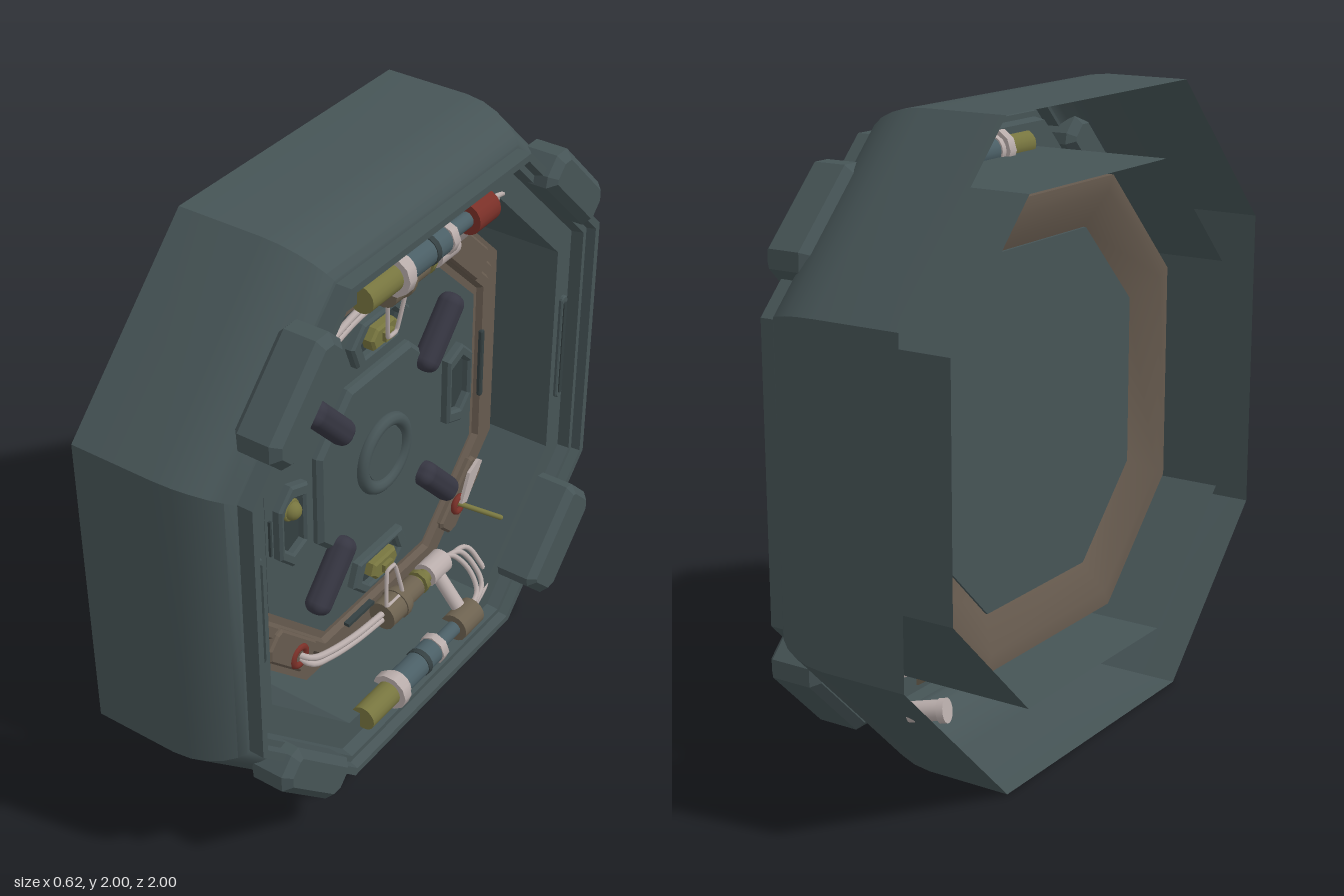
import * as THREE from 'three';
import { toCreasedNormals } from 'three/addons/utils/BufferGeometryUtils.js';
import { RoundedBoxGeometry } from 'three/addons/geometries/RoundedBoxGeometry.js';

const mat = (color) => new THREE.MeshStandardMaterial({ color, side: THREE.DoubleSide });
const SLATE = mat(0x465456), DARK = mat(0x343f41), BROWN = mat(0x665a4e), OLIVE = mat(0x77753f),
  RED = mat(0x7a3028), PURPLE = mat(0x363642), PALE = mat(0xb9adab), TAN = mat(0x6d6250), TEAL = mat(0x4b5f66);

// Corners of the octagon with half width 1, counter-clockwise
const OCT = [[1, -.5], [1, .5], [.5, 1], [-.5, 1], [-1, .5], [-1, -.5], [-.5, -1], [.5, -1]];

// Sweeps a [radius, depth] profile around the octagon
function octSweep(profile) {
  const pos = [];
  const p = (k, j) => {
    const [r, d] = profile[j], c = OCT[k % 8];
    return [c[0] * r, c[1] * r, d];
  };
  for (let k = 0; k < 8; k++) {
    for (let j = 0; j < profile.length - 1; j++) {
      if (profile[j][0] > 0) pos.push(...p(k, j), ...p(k + 1, j), ...p(k + 1, j + 1));
      if (profile[j + 1][0] > 0) pos.push(...p(k, j), ...p(k + 1, j + 1), ...p(k, j + 1));
    }
  }
  const g = new THREE.BufferGeometry();
  g.setAttribute('position', new THREE.Float32BufferAttribute(pos, 3));
  return toCreasedNormals(g, 0.6);
}

const toShape = (pts) => new THREE.Shape(pts.map(([x, y]) => new THREE.Vector2(x, y)));

// Extruded outline, optionally with a scaled copy cut out of it
function plate(pts, depth, hole = 0, bevel = 0.008) {
  const s = toShape(pts);
  if (hole) s.holes.push(toShape(pts.map(([x, y]) => [x * hole, y * hole])));
  return new THREE.ExtrudeGeometry(s, {
    depth: depth - bevel, bevelEnabled: bevel > 0, bevelThickness: bevel, bevelSize: bevel, bevelOffset: -bevel, bevelSegments: 1,
  });
}

// Long rounded outline
function capsule(w, h) {
  const pts = [], r = w / 2;
  for (let i = 0; i <= 16; i++) {
    const a = (i / 16) * Math.PI * 2;
    pts.push([Math.cos(a) * r, Math.sin(a) * r + (i < 8 ? 1 : -1) * (h / 2 - r)]);
  }
  return pts;
}

export function createModel() {
  const model = new THREE.Group();
  model.name = 'octagonalHatch';
  const body = new THREE.Group(); // built facing +z, turned to face +x
  body.name = 'hatchBody';
  body.rotation.y = Math.PI / 2;
  body.position.y = 1;
  model.add(body);

  const add = (name, geo, material, x = 0, y = 0, z = 0, rot = 0) => {
    const m = new THREE.Mesh(geo, material);
    m.name = name;
    m.position.set(x, y, z);
    m.rotation.z = rot;
    body.add(m);
    return m;
  };
  const rod = (name, material, a, b, r, sides = 16) => {
    const A = new THREE.Vector3(...a), B = new THREE.Vector3(...b), d = B.clone().sub(A);
    const m = add(name, new THREE.CylinderGeometry(r, r, d.length(), sides), material, ...A.clone().add(B).multiplyScalar(.5));
    m.quaternion.setFromUnitVectors(new THREE.Vector3(0, 1, 0), d.normalize());
  };
  const hose = (name, material, pts, r, closed = false) => {
    const curve = new THREE.CatmullRomCurve3(pts.map((p) => new THREE.Vector3(...p)), closed, 'catmullrom', closed ? .1 : .5);
    add(name, new THREE.TubeGeometry(curve, 28, r, 8, closed), material);
  };

  // Hollow frame, open at the back
  add('frame', octSweep([[1, -.31], [1, -.03], [.994, .03], [.98, .08], [.96, .125], [.935, .16], [.915, .178], [.905, .18],
    [.905, .23], [.882, .23], [.875, .2], [.857, .2], [.85, .16], [.77, .16], [.77, -.31]]), SLATE);

  // Door: brown rim with a slate panel
  add('doorRim', octSweep([[.55, -.08], [.66, -.14], [.71, -.14], [.71, -.03], [.665, -.03], [.655, -.015],
    [.625, -.015], [.615, 0], [.585, 0], [.575, -.02], [.55, -.02]]), BROWN);
  add('doorPanel', octSweep([[0, -.09], [.552, -.09], [.552, -.015], [0, -.015]]), SLATE);
  const hub = [];
  for (const [x, y] of OCT) hub.push([x * .32, y * .32]);
  add('hubPlate', plate(hub, .035, 0, .015), SLATE, 0, 0, -.02);
  add('hubRing', new THREE.TorusGeometry(.115, .022, 10, 40), SLATE, 0, 0, .022);
  add('hubCap', new THREE.CylinderGeometry(.09, .09, .02, 32).rotateX(Math.PI / 2), SLATE, 0, 0, .018);

  // Four radial grips
  for (const sx of [-1, 1]) for (const sy of [-1, 1]) {
    add('grip', new RoundedBoxGeometry(.26, .085, .08, 3, .035), PURPLE, sx * .29, sy * .29, .025, sx * sy * .83);
  }

  // Pocket frames around the panel
  const pocket = [[-.15, .01], [-.12, -.07], [.12, -.07], [.15, .01], [.09, .07], [-.09, .07]];
  for (let i = 0; i < 4; i++) {
    const a = i * Math.PI / 2, x = -Math.sin(a) * .445, y = Math.cos(a) * .445;
    add('pocketFrame', plate(pocket, .035, .68), SLATE, x, y, -.02, a);
    add('pocketFloor', plate(pocket.map(([u, v]) => [u * .7, v * .7]), .008, 0, 0), DARK, x, y, -.02, a);
    if (i % 2 === 0) {
      add('latchBase', plate(pocket.map(([u, v]) => [u * .48, v * .5]), .045), OLIVE, x, y, -.015, a);
      add('latchBlock', new THREE.BoxGeometry(.045, .03, .05), OLIVE, x, y, .02);
    }
  }
  add('pocketKnob', new THREE.SphereGeometry(.03, 16, 12), OLIVE, -.46, .07, .015);
  add('pocketKnobRing', new THREE.TorusGeometry(.03, .007, 8, 20), OLIVE, -.46, .07, .01);

  // Long slots at both sides of the frame and door
  for (const s of [-1, 1]) {
    add('frameSlotRim', plate(capsule(.038, .4), .015, 0, .004), SLATE, s * .815, 0, .157);
    add('frameSlot', plate(capsule(.018, .36), .004, 0, 0), DARK, s * .815, 0, .172);
    add('doorSlot', plate(capsule(.02, .26), .012, 0, .004), DARK, s * .585, 0, -.005);
    add('panelGroove', new THREE.BoxGeometry(.008, .13, .01), DARK, s * .535, 0, -.012);
  }

  // Corner pads on the frame and smaller ones on the door
  for (const sx of [-1, 1]) for (const sy of [-1, 1]) {
    const big = sx > 0 && sy < 0, rot = Math.atan2(sy, sx) - Math.PI / 2;
    const w = big ? .1 : .07, r = (big ? .955 : .975) / Math.SQRT2;
    const outline = [[-.17, -w], [.17, -w], [.19, -w + .03], [.19, w - .04], [.15, w], [-.15, w], [-.19, w - .04], [-.19, -w + .03]];
    add('framePad', plate(outline, big ? .16 : .13, 0, .025), SLATE, sx * r, sy * r, .14, rot);
    add('doorPad', plate(outline.map(([u, v]) => [u * .7, v * .055 / w]), .03), BROWN, sx * .475, sy * .475, -.015, rot);
  }

  // Pipework, mirrored at top and bottom
  for (const s of [1, -1]) {
    const Y = s * .786, Z = .172, y = s * .62, z = .05;
    const line = (name, m, x0, x1, r, sides, yy = Y, zz = Z) => rod(name, m, [x0, yy, zz], [x1, yy, zz], r, sides);
    line('olivePipe', OLIVE, -.33, -.17, .043);
    line('pipeNut', PALE, -.185, -.15, .065, 10);
    line('pipeNutCollar', PALE, -.15, -.13, .05);
    line('mainPipe', TEAL, -.13, .06, .045);
    line('pipeBand', DARK, -.02, 0, .048);
    line('smallNut', PALE, .06, .09, .052, 8);
    line('thinPipe', TEAL, .09, .2, .026);
    line('endPipe', s > 0 ? RED : TAN, .195, .305, .05);
    line('doorPipeLarge', TAN, -.05, .06, .05, 16, y, z);
    line('doorPipeSmall', TAN, .06, .14, .04, 16, y, z);
    line('doorPipeBand', TAN, .025, .045, .055, 16, y, z);
    line('doorPipeNeck', OLIVE, .14, .2, .026, 16, y, z);
    line('doorPipeNut', OLIVE, .155, .175, .042, 8, y, z);
    line('doorPipeEnd', PALE, .2, .3, .043, 16, y, z);
    rod('linkPipe', PALE, [.25, y, z], [.25, s * .74, Z - .02], .024);

    // Paired hoses running to the grommet
    for (const o of [-.012, .012]) {
      hose('longHose', PALE, [[-.05, s * (.622 + o), z], [-.2, s * (.605 + o), z], [-.34, s * (.57 + o), z], [-.42, s * (.54 + o), .04], [-.445, s * .515, -.02]], .011);
    }
    add('hoseGrommet', new THREE.TorusGeometry(.032, .013, 8, 24), RED, -.445, s * .515, .012);

    // Looped hoses joining the two lines
    for (let i = 0; i < 3; i++) {
      const o = i * .03;
      hose('loopHose', PALE, [[.29, s * (.6 + i * .018), z], [.345 + o, s * .625, .07], [.38 + o, s * .69, .11], [.37 + o, s * .755, .15], [.3, s * (.77 + i * .012), Z]], .009);
    }

    // Wire bail between latch and pipe
    hose('wireBail', PALE, [[-.022, s * .45, .05], [.022, s * .45, .05], [.045, s * .575, .065], [-.045, s * .575, .065]], .007, true);
    add('clipStrip', new THREE.BoxGeometry(.14, .012, .02), DARK, -.12, s * .575, .01);
  }

  // Eyelet at the upper corner
  add('eyelet', new THREE.TorusGeometry(.03, .01, 8, 24), OLIVE, -.53, .41, .022);

  // Lever with grommet and tag at the lower corner
  add('leverGrommet', new THREE.TorusGeometry(.028, .011, 8, 20), RED, .44, -.485, .022);
  rod('leverRod', OLIVE, [.43, -.475, .01], [.58, -.595, .12], .009);
  add('leverTag', plate([[0, 0], [.03, -.01], [.12, .11], [.1, .125], [.045, .1]], .012, 0, 0), PALE, .43, -.47, .03);

  // Pale stub fitted through the lower corner of the frame
  rod('stubPipe', PALE, [.8, -.62, -.3], [.83, -.64, -.2], .03);
  rod('stubCollar', PALE, [.8, -.62, -.31], [.805, -.624, -.29], .036);
  rod('padStud', PALE, [.79, -.62, .24], [.83, -.65, .24], .012);

  return model;
}
